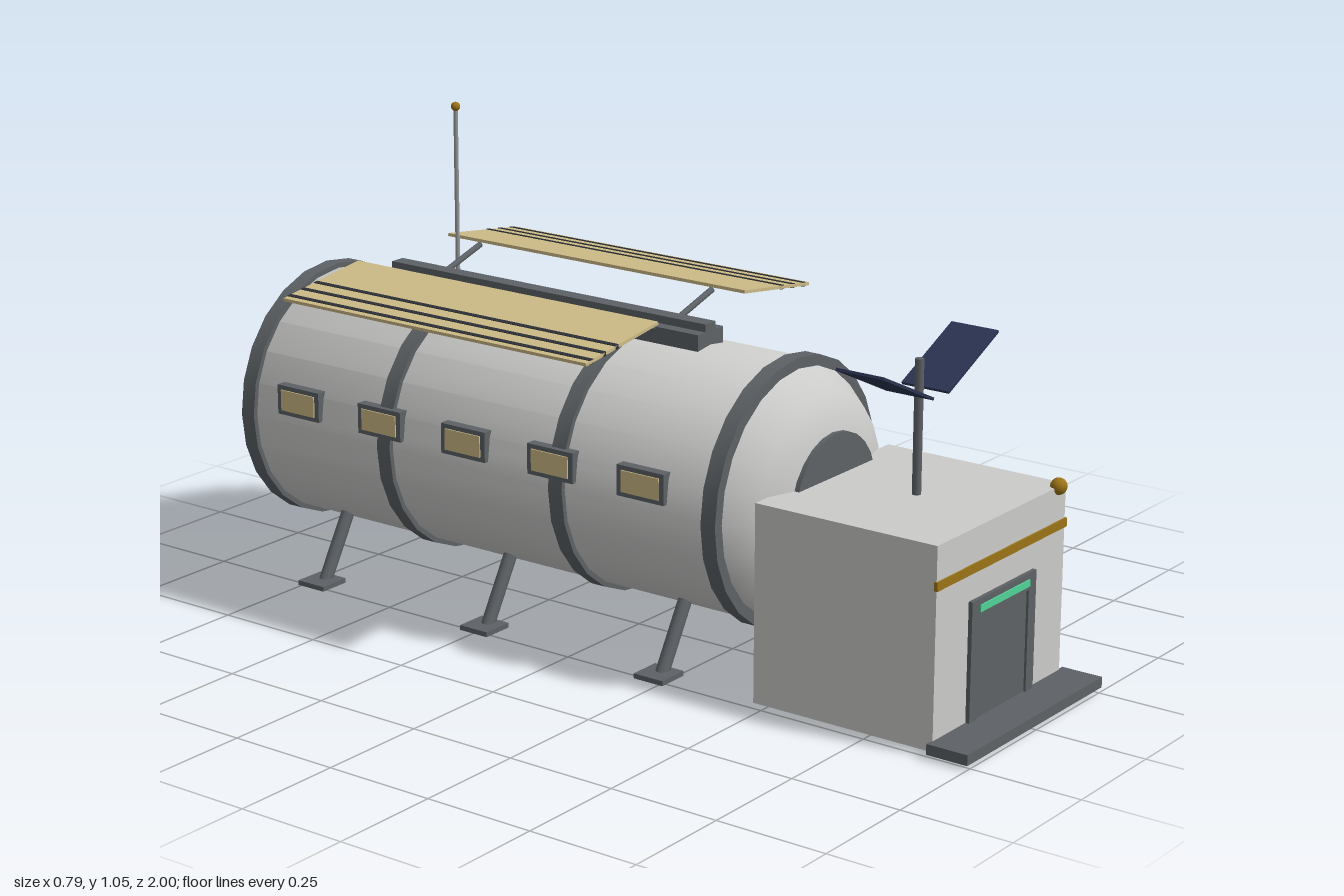
import * as THREE from 'three';
import { toCreasedNormals } from 'three/addons/utils/BufferGeometryUtils.js';

export function createModel() {
  const model = new THREE.Group();
  model.name = 'habitatModule';

  const mat = (name, color) => {
    const m = new THREE.MeshStandardMaterial({ color });
    m.name = name;
    return m;
  };
  const hull = mat('hullGrey', 0xcbcbca);
  const dark = mat('darkGrey', 0x5d6266);
  const metal = mat('metalGrey', 0x94989a);
  const amber = mat('amber', 0x9c7418);
  const green = mat('lightGreen', 0x50d496);
  const tan = mat('panelTan', 0xcdbb86);
  const navy = mat('solarNavy', 0x2b3452);
  const black = mat('stripeBlack', 0x2c3036);

  const add = (name, geometry, material, x = 0, y = 0, z = 0, parent = model) => {
    const m = new THREE.Mesh(geometry, material);
    m.name = name;
    m.position.set(x, y, z);
    parent.add(m);
    return m;
  };
  // Box given by its lower and upper limits on each axis
  const box = (name, material, x0, x1, y0, y1, z0, z1, parent) =>
    add(name, new THREE.BoxGeometry(x1 - x0, y1 - y0, z1 - z0), material,
      (x0 + x1) / 2, (y0 + y1) / 2, (z0 + z1) / 2, parent);
  // Round bar between two points
  const bar = (name, material, a, b, r, parent) => {
    const p = new THREE.Vector3(...a), q = new THREE.Vector3(...b);
    const dir = q.clone().sub(p);
    const m = add(name, new THREE.CylinderGeometry(r, r, dir.length(), 10), material, 0, 0, 0, parent);
    m.position.copy(p).add(q).multiplyScalar(0.5);
    m.quaternion.setFromUnitVectors(new THREE.Vector3(0, 1, 0), dir.normalize());
    return m;
  };
  // Turned shape around the tank axis; profile points are [radius, z]
  const AXIS_Y = 0.385;
  const turned = (name, material, profile, z = 0) => {
    const g = new THREE.LatheGeometry(profile.map(p => new THREE.Vector2(...p)), 24);
    g.rotateX(Math.PI / 2);
    return add(name, toCreasedNormals(g, 0.6), material, 0, AXIS_Y, z);
  };

  // Tank with domed ends
  turned('tank', hull, [
    [0, -1], [0.143, -0.99], [0.212, -0.957], [0.268, -0.888], [0.28, -0.87],
    [0.28, 0.39], [0.268, 0.41], [0.222, 0.47], [0.147, 0.497], [0, 0.503],
  ]);
  turned('frontHatch', dark, [[0, 0.48], [0.147, 0.48], [0.147, 0.508], [0, 0.508]]);
  for (const z of [0.393, 0, -0.472, -0.87]) {
    turned('tankRing', dark, [[0.266, -0.018], [0.291, -0.018], [0.291, 0.018], [0.266, 0.018]], z);
  }

  // Windows along the right side
  for (let i = 0; i < 5; i++) {
    const z = -0.72 + i * 0.235;
    box('windowFrame', dark, -0.288, -0.255, 0.405, 0.472, z - 0.06, z + 0.06);
    box('windowPane', tan, -0.291, -0.287, 0.415, 0.462, z - 0.048, z + 0.048);
  }

  // Splayed legs with foot pads
  for (const z of [0.235, -0.235, -0.705]) {
    for (const s of [1, -1]) {
      bar('leg', dark, [s * 0.15, 0.155, z], [s * 0.235, 0.008, z], 0.015);
      box('footPad', dark, s * 0.243 - 0.037, s * 0.243 + 0.037, 0.009, 0.02, z - 0.037, z + 0.037);
    }
  }

  // Entrance cabin
  box('cabin', hull, -0.243, 0.243, 0.01, 0.44, 0.476, 0.908);
  box('cabinStripe', amber, -0.246, 0.246, 0.347, 0.366, 0.904, 0.912);
  box('doorStep', dark, -0.261, 0.261, 0.01, 0.033, 0.905, 1);
  // Door with raised frame and light strip
  const entrance = new THREE.Group();
  entrance.name = 'entrance';
  model.add(entrance);
  box('doorPanel', dark, -0.094, 0.094, 0.033, 0.253, 0.9, 0.912, entrance);
  for (const s of [1, -1]) {
    box('doorPost', dark, s * 0.108 - 0.014, s * 0.108 + 0.014, 0.033, 0.29, 0.9, 0.917, entrance);
  }
  box('doorLintel', dark, -0.094, 0.094, 0.253, 0.29, 0.9, 0.917, entrance);
  box('doorLight', green, -0.094, 0.094, 0.262, 0.277, 0.914, 0.92, entrance);
  add('cabinBeacon', new THREE.SphereGeometry(0.018, 12, 8), amber, 0.215, 0.441, 0.908);

  // Cabin mast with two raised solar wings
  bar('cabinMast', dark, [0, 0.44, 0.703], [0, 0.726, 0.703], 0.0095);
  for (const s of [1, -1]) {
    const wing = add('cabinSolarWing', new THREE.BoxGeometry(0.204, 0.006, 0.112), navy, s * 0.12, 0.7, 0.7);
    wing.rotation.z = s * 0.435;
  }

  // Roof rail with a central ridge
  box('roofRail', dark, -0.045, 0.045, 0.655, 0.695, -0.675, 0.187);
  box('roofRidge', dark, -0.018, 0.018, 0.69, 0.712, -0.675, 0.187);

  // Roof panels on arms, sloping down outwards
  for (const s of [1, -1]) {
    for (const z of [-0.572, 0.07]) {
      bar('panelArm', dark, [s * 0.03, 0.688, z], [s * 0.165, 0.729, z], 0.007);
    }
    const panel = new THREE.Group();
    panel.name = 'roofPanel';
    panel.position.set(s * 0.273, 0.725, -0.245);
    panel.rotation.z = -s * 0.137;
    model.add(panel);
    add('panelSheet', new THREE.BoxGeometry(0.243, 0.007, 0.82), tan, 0, 0, 0, panel);
    for (const x of [0.019, 0.061, 0.103]) {
      add('panelStripe', new THREE.BoxGeometry(0.011, 0.0095, 0.82), black, s * x, 0, 0, panel);
    }
  }

  // Antenna
  bar('antennaMast', metal, [0.14, 0.668, -0.617], [0.14, 1.04, -0.617], 0.005);
  add('antennaTip', new THREE.SphereGeometry(0.0105, 12, 8), amber, 0.14, 1.043, -0.617);

  return model;
}
